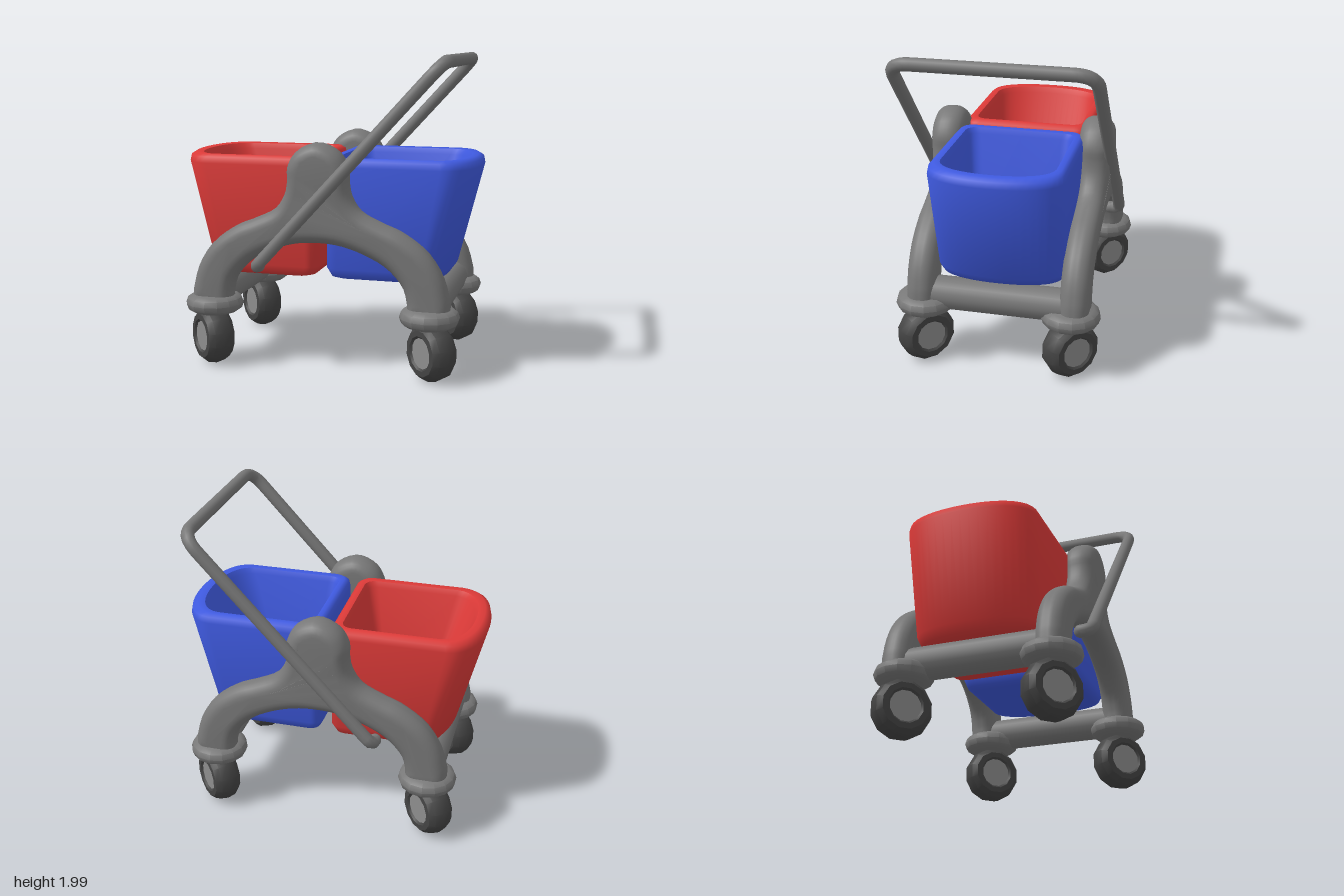
import * as THREE from 'three';
import { toCreasedNormals } from 'three/addons/utils/BufferGeometryUtils.js';

const mat = (color, side = THREE.FrontSide) => new THREE.MeshStandardMaterial({ color, side });

function add(parent, name, geometry, material, x = 0, y = 0, z = 0) {
  const mesh = new THREE.Mesh(geometry, material);
  mesh.name = name;
  mesh.position.set(x, y, z);
  parent.add(mesh);
  return mesh;
}

// Plan outline of a bucket: u runs from the inner wall (0) to the bowed outer wall (1), v across
function bucketPlan() {
  const s = new THREE.Shape();
  s.moveTo(0, 0);
  s.lineTo(0, -0.78);
  s.quadraticCurveTo(0, -1, 0.1, -1);
  s.lineTo(0.78, -1);
  s.bezierCurveTo(0.95, -0.97, 1, -0.45, 1, 0);
  s.bezierCurveTo(1, 0.45, 0.95, 0.97, 0.78, 1);
  s.lineTo(0.1, 1);
  s.quadraticCurveTo(0, 1, 0, 0.78);
  s.lineTo(0, 0);
  return s.getPoints(10).slice(0, -1);
}

// Bucket lofted from the outside bottom, over the rim, down to the inside floor
function bucketGeometry() {
  // y, inner x, outer x, half depth
  const rings = [
    [0.58, 0.4, 0.4, 0], [0.58, 0.1, 0.72, 0.345], [0.595, 0.055, 0.765, 0.38], [0.65, 0.027, 0.805, 0.4],
    [1.3, 0.025, 0.97, 0.42], [1.34, 0.033, 0.962, 0.412], [1.36, 0.06, 0.93, 0.39],
    [1.355, 0.09, 0.885, 0.355], [1.32, 0.105, 0.865, 0.338],
    [0.8, 0.19, 0.685, 0.305], [0.7, 0.22, 0.62, 0.285], [0.7, 0.42, 0.42, 0],
  ];
  const plan = bucketPlan(), n = plan.length, pos = [], idx = [];
  for (const [y, xi, xo, hz] of rings)
    for (const p of plan) pos.push(xi + p.x * (xo - xi), y, p.y * hz);
  for (let r = 0; r < rings.length - 1; r++)
    for (let i = 0; i < n; i++) {
      const a = r * n + i, b = r * n + (i + 1) % n;
      if (r > 0) idx.push(a, a + n, b);
      if (r < rings.length - 2) idx.push(b, a + n, b + n);
      else idx.pop(), idx.pop(), idx.pop(), idx.push(a, a + n, b);
      if (r === 0) idx.splice(-3, 3, b, a + n, b + n);
    }
  const g = new THREE.BufferGeometry();
  g.setAttribute('position', new THREE.Float32BufferAttribute(pos, 3));
  g.setIndex(idx);
  return toCreasedNormals(g, 0.9);
}

// Arched side frame with two legs and a round hub on top
function frameGeometry() {
  const outer = [[0.835, 0.5], [0.79, 0.66], [0.69, 0.81], [0.54, 0.92], [0.41, 0.975],
    [0.28, 1.04], [0.215, 1.13], [0.195, 1.22], [0.192, 1.31], [0.13, 1.41], [0, 1.463]];
  const inner = [[0.57, 0.48], [0.54, 0.59], [0.44, 0.7], [0.3, 0.775], [0.15, 0.822], [0, 0.835]];
  const v = (pts, s) => pts.map(([x, y]) => new THREE.Vector2(s * x, y));
  const both = (pts) => [...v(pts, 1), ...v(pts, -1).reverse().slice(1)];
  const shape = new THREE.Shape();
  shape.moveTo(0.835, 0.38);
  shape.lineTo(0.835, 0.5);
  shape.splineThru(both(outer).slice(1));
  shape.lineTo(-0.835, 0.38);
  shape.lineTo(-0.57, 0.38);
  shape.lineTo(-0.57, 0.48);
  shape.splineThru(both(inner).reverse().slice(1));
  shape.lineTo(0.57, 0.38);
  const g = new THREE.ExtrudeGeometry(shape, {
    depth: 0.02, bevelThickness: 0.08, bevelSize: 0.08, bevelOffset: -0.08, bevelSegments: 6, curveSegments: 3,
  });
  g.translate(0, 0, -0.01);
  // the hub swells slightly
  const p = g.attributes.position;
  for (let i = 0; i < p.count; i++)
    p.setZ(i, p.getZ(i) * (1 + 0.15 * THREE.MathUtils.smoothstep(p.getY(i), 1, 1.25)));
  return toCreasedNormals(g, 0.8);
}

// Polyline with rounded corners
function roundedPath(points, radii) {
  const path = new THREE.CurvePath();
  let from = points[0];
  for (let i = 1; i < points.length - 1; i++) {
    const c = points[i], r = radii[i - 1];
    const a = points[i - 1].clone().sub(c).setLength(r).add(c);
    const b = points[i + 1].clone().sub(c).setLength(r).add(c);
    path.add(new THREE.LineCurve3(from, a));
    path.add(new THREE.QuadraticBezierCurve3(a, c, b));
    from = b;
  }
  path.add(new THREE.LineCurve3(from, points[points.length - 1]));
  return path;
}

const lathe = (pts, seg) =>
  toCreasedNormals(new THREE.LatheGeometry(pts.map(([x, y]) => new THREE.Vector2(x, y)), seg), 0.7);

export function createModel() {
  const model = new THREE.Group();
  model.name = 'bucketTrolley';
  const frameMat = mat(0x787878), tyreMat = mat(0x444444), hubMat = mat(0x8c8c8c);
  const cx = 0.015, cz = -0.01;

  // Buckets, the red one turned to face the other way
  const bucket = bucketGeometry();
  add(model, 'leftBucket', bucket, mat(0x3f5ae0), 0, 0, cz);
  add(model, 'rightBucket', bucket, mat(0xdc3a38), 0, 0, cz).rotation.y = Math.PI;

  // Side frames
  const frame = frameGeometry();
  add(model, 'frontFrame', frame, frameMat, cx, 0, cz + 0.485);
  add(model, 'backFrame', frame, frameMat, cx, 0, cz - 0.485);

  // Push handle with its lower ends bent inwards
  const P = (x, y, z) => new THREE.Vector3(x, y, z);
  const ends = [P(-0.36, 0.68, 0.54), P(-0.36, 0.68, -0.54)];
  const path = roundedPath([ends[0], P(-0.36, 0.68, 0.61), P(0.81, 1.96, 0.61),
    P(0.81, 1.96, -0.605), P(-0.36, 0.68, -0.605), ends[1]], [0.06, 0.13, 0.13, 0.06]);
  add(model, 'handle', new THREE.TubeGeometry(path, 140, 0.041, 10), frameMat);
  for (const e of ends) add(model, 'handleEnd', new THREE.SphereGeometry(0.041, 10, 8), frameMat, e.x, e.y, e.z);

  // Cross bars, collars and swivelled wheels
  const bar = new THREE.CylinderGeometry(0.105, 0.105, 0.96, 16).rotateX(Math.PI / 2);
  const collar = lathe([[0, -0.055], [0.145, -0.055], [0.175, -0.035], [0.187, 0],
    [0.175, 0.035], [0.145, 0.055], [0, 0.055]], 14);
  const tyre = lathe([[0.09, -0.07], [0.11, -0.09], [0.145, -0.088], [0.175, -0.055], [0.186, 0],
    [0.175, 0.055], [0.145, 0.088], [0.11, 0.09], [0.09, 0.07]], 12);
  const hub = new THREE.CylinderGeometry(0.1, 0.1, 0.155, 16);
  for (const sx of [-1, 1]) {
    add(model, 'crossBar', bar, frameMat, cx + sx * 0.7, 0.467, cz);
    for (const sz of [-1, 1]) {
      add(model, 'wheelCollar', collar, frameMat, cx + sx * 0.705, 0.405, sz * 0.465);
      const wheel = new THREE.Group();
      wheel.name = 'wheel';
      add(wheel, 'tyre', tyre, tyreMat);
      add(wheel, 'wheelHub', hub, hubMat);
      wheel.position.set(cx + sx * 0.72, 0.186, sz * 0.467);
      wheel.quaternion.setFromUnitVectors(P(0, 1, 0), P(-1, 0, 1).normalize());
      model.add(wheel);
    }
  }
  return model;
}
